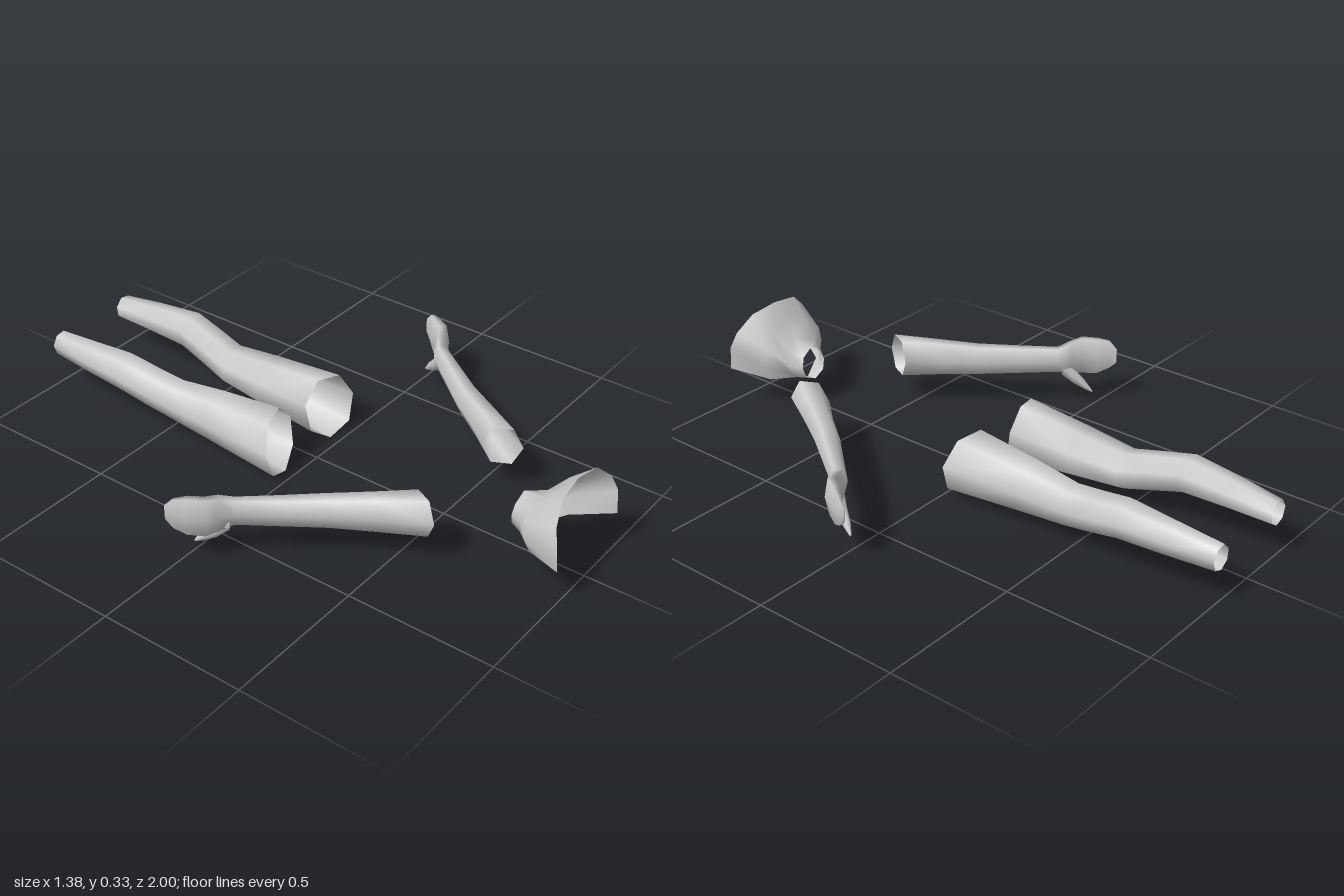
import * as THREE from 'three';

const material = new THREE.MeshStandardMaterial({ color: 0xcccccc, side: THREE.DoubleSide });

// Skin a list of cross-sections (arrays of [x, y, z]) with smooth normals.
function loft(name, rows, closed, side = 1) {
  const n = rows[0].length;
  const position = rows.flat().flatMap(([x, y, z]) => [x * side, y, z]);
  const index = [];
  for (let r = 0; r < rows.length - 1; r++) {
    for (let i = 0; i < (closed ? n : n - 1); i++) {
      const a = r * n + i, b = r * n + (i + 1) % n, c = a + n, d = b + n;
      if (side > 0) index.push(a, b, d, a, d, c);
      else index.push(a, d, b, a, c, d);
    }
  }
  const geometry = new THREE.BufferGeometry();
  geometry.setAttribute('position', new THREE.Float32BufferAttribute(position, 3));
  geometry.setIndex(index);
  geometry.computeVertexNormals();
  const mesh = new THREE.Mesh(geometry, material);
  mesh.name = name;
  return mesh;
}

// Leg sections, thigh to ankle: z, centre x, centre y, radius x, radius y
const LEG = [
  [-0.05, 0.133, 0.118, 0.1, 0.113],
  [-0.3, 0.135, 0.122, 0.088, 0.086],
  [-0.47, 0.14, 0.12, 0.071, 0.068],
  [-0.57, 0.155, 0.142, 0.069, 0.066],
  [-0.68, 0.168, 0.167, 0.068, 0.063],
  [-0.85, 0.165, 0.162, 0.054, 0.053],
  [-1, 0.158, 0.156, 0.04, 0.043],
];

function leg(name, side) {
  const rows = LEG.map(([z, cx, cy, rx, ry], r) => Array.from({ length: 7 }, (_, i) => {
    const a = (263 / 360 + i / 7) * Math.PI * 2;
    const dx = rx * Math.cos(a), dy = ry * Math.sin(a);
    // the thigh opening is cut at a slant
    return [cx + dx, cy + dy, r === 0 ? z + 0.25 * dx - 0.15 * dy : z];
  }));
  return loft(name, rows, true, side);
}

// Arm and hand sections: centre x, centre z, half-width vector x and z, low y, high y
const ARM = [
  [0.22, 0.565, 0.03, 0.06, 0.105, 0.235],
  [0.302, 0.447, 0.027, 0.042, 0.112, 0.227],
  [0.38, 0.33, 0.028, 0.03, 0.118, 0.217],
  [0.47, 0.215, 0.024, 0.022, 0.122, 0.213],
  [0.55, 0.113, 0.02, 0.017, 0.126, 0.211],
  [0.59, 0.085, 0.02, 0.017, 0.113, 0.229],
  [0.628, 0.066, 0.018, 0.015, 0.107, 0.237],
  [0.656, 0.02, 0.018, 0.008, 0.107, 0.237],
  [0.679, -0.014, 0.01, 0.004, 0.126, 0.23],
  [0.688, -0.04, 0.003, 0.001, 0.15, 0.202],
  [0.688, -0.041, 0, 0, 0.155, 0.197],
];

const THUMB = [
  [0.565, 0.105, 0.015, 0.012, 0.11, 0.165],
  [0.587, 0.072, 0.014, 0.011, 0.08, 0.13],
  [0.605, 0.035, 0.01, 0.008, 0.059, 0.09],
  [0.617, 0.009, 0.003, 0.002, 0.047, 0.054],
  [0.618, 0.008, 0, 0, 0.05, 0.051],
];

function limb(name, sections, side) {
  const rows = sections.map(([cx, cz, nx, nz, low, high]) => Array.from({ length: 6 }, (_, i) => {
    const a = i * Math.PI / 3, c = Math.cos(a);
    const dy = (high - low) / 2 * Math.sin(a) / Math.sin(Math.PI / 3);
    return [cx + nx * c, (low + high) / 2 + dy, cz + nz * c];
  }));
  return loft(name, rows, true, side);
}

// Neck and shoulder yoke: half sections from the top centre down, neck to outer rim
const YOKE = [
  [[0, 0.218, 0.775], [0.043, 0.192, 0.772], [0.052, 0.155, 0.768], [0.042, 0.12, 0.765], [0, 0.1, 0.762]],
  [[0, 0.228, 0.845], [0.06, 0.207, 0.822], [0.072, 0.16, 0.81], [0.058, 0.115, 0.803], [0, 0.097, 0.8]],
  [[0, 0.283, 0.9], [0.08, 0.27, 0.882], [0.125, 0.222, 0.86], [0.142, 0.165, 0.868], [0.112, 0.105, 0.87]],
  [[0, 0.34, 0.947], [0.1, 0.325, 0.955], [0.16, 0.27, 0.975], [0.178, 0.215, 0.993], [0.177, 0.132, 1]],
];

function yoke() {
  const rows = YOKE.map((half) => [
    ...half.slice(1).reverse().map(([x, y, z]) => [-x, y, z]),
    ...half,
  ].reverse());
  return loft('neckAndShoulders', rows, false);
}

export function createModel() {
  const model = new THREE.Group();
  model.name = 'bodyParts';
  model.add(yoke());
  for (const [label, side] of [['left', 1], ['right', -1]]) {
    const arm = new THREE.Group();
    arm.name = label + 'Arm';
    arm.add(limb(label + 'ArmAndHand', ARM, side), limb(label + 'Thumb', THUMB, side));
    model.add(arm, leg(label + 'Leg', side));
  }
  return model;
}
